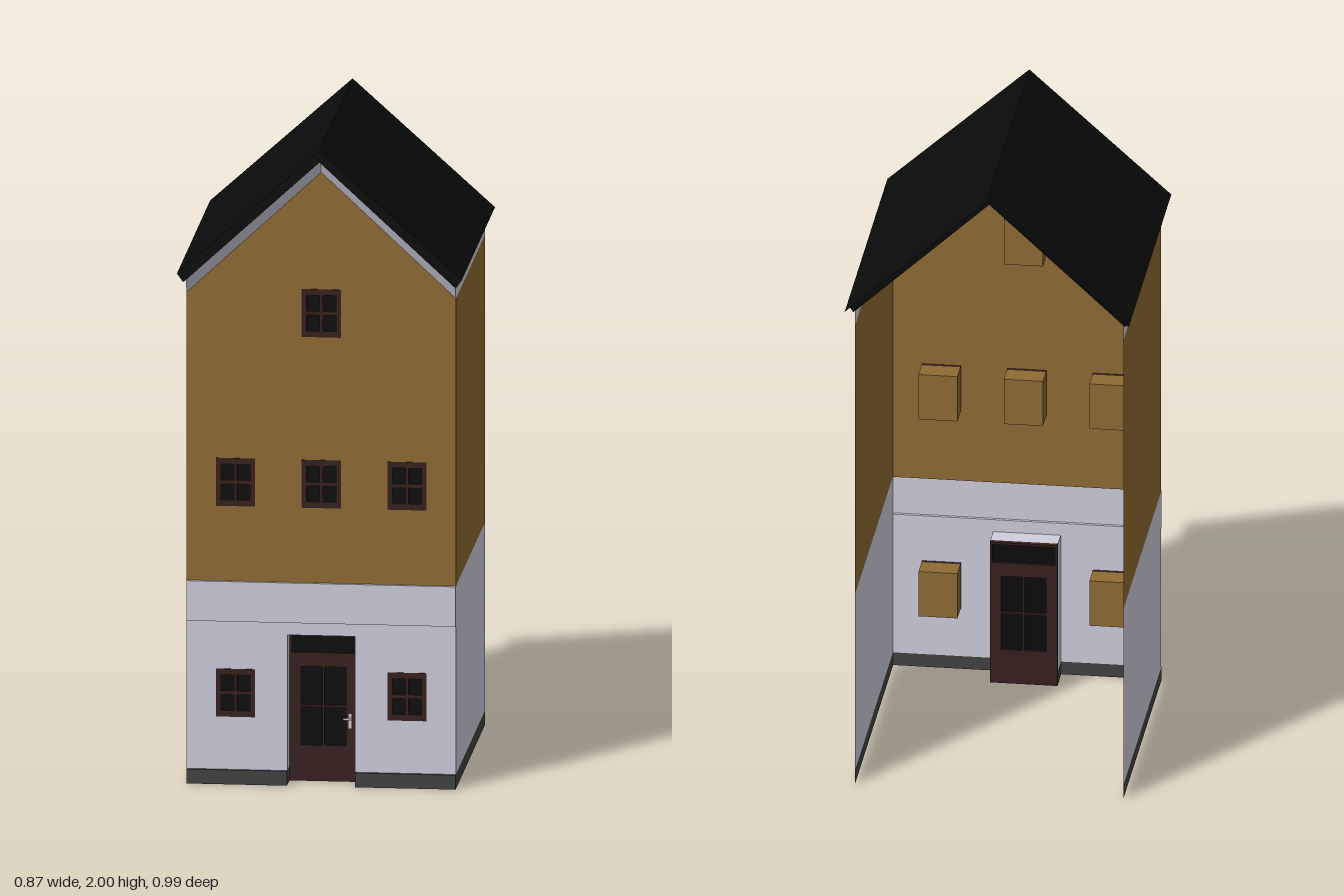
import * as THREE from 'three';

const mat = (color) => new THREE.MeshStandardMaterial({ color, side: THREE.DoubleSide, flatShading: true });

const W = 0.413;                 // half width of the house
const BACK = -0.435, FRONT = 0.44, PROUD = 0.45;
const EAVE = 1.58, PEAK = 1.965;
const DOOR = 0.104, DOOR_TOP = 0.47, DOOR_Z = 0.37;

export function createModel() {
  const house = new THREE.Group();
  house.name = 'house';
  const ochre = mat(0x8f6b33), white = mat(0xd0cddd), black = mat(0x0a0a0a);
  const stone = mat(0x424242), wood = mat(0x38211e), glass = mat(0x0b0b0b), metal = mat(0xcccccc);

  const add = (name, geometry, material, x = 0, y = 0, z = 0, parent = house) => {
    const mesh = new THREE.Mesh(geometry, material);
    mesh.name = name;
    mesh.position.set(x, y, z);
    parent.add(mesh);
    return mesh;
  };
  const polygon = (pts) => new THREE.Shape(pts.map(([x, y]) => new THREE.Vector2(x, y)));
  const rect = (x0, y0, x1, y1) => [[x0, y0], [x1, y0], [x1, y1], [x0, y1]];
  const withHoles = (pts, holes) => {
    const shape = polygon(pts);
    holes.forEach((h) => shape.holes.push(polygon([...h].reverse())));
    return shape;
  };
  const extrude = (shape, depth) => new THREE.ExtrudeGeometry(shape, { depth, bevelEnabled: false });
  // Flat four-cornered sheet
  const quad = (a, b, c, d) => {
    const g = new THREE.BufferGeometry();
    g.setAttribute('position', new THREE.Float32BufferAttribute([a, b, c, a, c, d].flat(), 3));
    g.computeVertexNormals();
    return g;
  };
  // Sheets facing sideways (constant x) and upwards (constant y)
  const sideSheet = (x, y0, y1, z0, z1) => quad([x, y0, z1], [x, y0, z0], [x, y1, z0], [x, y1, z1]);
  const levelSheet = (y, x0, x1, z0, z1) => quad([x0, y, z1], [x1, y, z1], [x1, y, z0], [x0, y, z0]);

  // Window places
  const windows = [[-0.263, 0.285], [0.263, 0.285], [-0.263, 0.945], [0, 0.945], [0.263, 0.945], [0, 1.48]];
  const ww = 0.06, wh = 0.075;
  const openings = windows.map(([x, y]) => rect(x - ww, y - wh, x + ww, y + wh));

  // Front wall: ground floor, raised band, gabled upper floors
  const ground = [[-W, 0.045], [-DOOR, 0.045], [-DOOR, DOOR_TOP], [DOOR, DOOR_TOP],
    [DOOR, 0.045], [W, 0.045], [W, 0.51], [-W, 0.51]];
  add('groundFloorFront', new THREE.ShapeGeometry(withHoles(ground, openings.slice(0, 2))), white, 0, 0, FRONT);
  const upper = [[-W, 0.635], [W, 0.635], [W, EAVE], [0, PEAK], [-W, EAVE]];
  add('upperFloorsFront', new THREE.ShapeGeometry(withHoles(upper, openings.slice(2))), ochre, 0, 0, FRONT);
  add('bandFront', new THREE.ShapeGeometry(polygon(rect(-W, 0.51, W, 0.635))), white, 0, 0, PROUD);
  for (const y of [0.51, 0.635]) add('bandLedge', levelSheet(y, -W, W, FRONT, PROUD), white);

  // Side walls, plinth and door reveals, mirrored
  for (const s of [-1, 1]) {
    const side = s < 0 ? 'right' : 'left';
    add(side + 'Plinth', sideSheet(s * W, 0, 0.045, BACK, PROUD), stone);
    add(side + 'GroundFloorWall', sideSheet(s * W, 0.045, 0.635, BACK, FRONT), white);
    add(side + 'BandEnd', sideSheet(s * W, 0.51, 0.635, FRONT, PROUD), white);
    add(side + 'UpperWall', sideSheet(s * W, 0.635, 1.535, BACK, FRONT), ochre);
    add(side + 'EaveTrim', sideSheet(s * W, 1.535, EAVE, BACK, FRONT), white);

    const [x0, x1] = s < 0 ? [-W, -DOOR] : [DOOR, W];
    add('frontPlinth', new THREE.ShapeGeometry(polygon(rect(x0, 0, x1, 0.045))), stone, 0, 0, PROUD);
    add('plinthLedge', levelSheet(0.045, x0, x1, FRONT, PROUD), stone);
    add('plinthReveal', sideSheet(s * DOOR, 0, 0.045, DOOR_Z, PROUD), stone);
    add('doorReveal', sideSheet(s * DOOR, 0.045, DOOR_TOP, DOOR_Z, FRONT), white);

    // Sloping moulding under the gable edge
    const z = 0.465;
    const top = [[0, PEAK, z], [s * W, EAVE, z]], low = [[0, 1.922, FRONT + 0.002], [s * W, 1.537, FRONT + 0.002]];
    add('gableMoulding', s > 0 ? quad(low[0], low[1], top[1], top[0]) : quad(low[1], low[0], top[0], top[1]), white);
    add('mouldingEnd', quad(low[1], [s * W, EAVE, FRONT], top[1], top[1]), white);
  }
  add('doorHead', levelSheet(DOOR_TOP, -DOOR, DOOR, DOOR_Z, FRONT), white);

  // Roof: chevron slab, with its skin running on over the open back
  const chevron = [[-0.437, 1.607], [-0.418, EAVE], [0, PEAK], [0.418, EAVE], [0.437, 1.607], [0, 2]];
  add('roof', extrude(polygon(chevron), 0.495 - BACK), black, 0, 0, BACK);
  for (const s of [-1, 1]) {
    const r = [[0, 2, BACK], [s * 0.437, 1.607, BACK], [s * 0.437, 1.607, -0.495], [0, 2, -0.495]];
    add('roofBackOverhang', quad(...(s > 0 ? r : r.reverse())), black);
  }

  // Windows: four-pane frame, glass, and the box recess behind
  const paneHoles = [-1, 1].flatMap((i) => [-1, 1].map((j) => {
    const x = i * 0.025, y = j * 0.031;
    return rect(x - 0.02, y - 0.025, x + 0.02, y + 0.025);
  }));
  const frameGeo = extrude(withHoles(rect(-ww, -wh, ww, wh), paneHoles), 0.014);
  const glassGeo = new THREE.PlaneGeometry(2 * ww, 2 * wh);
  const recessGeo = new THREE.BoxGeometry(2 * ww, 2 * wh, 0.07);
  for (const [x, y] of windows) {
    const win = new THREE.Group();
    win.name = 'window';
    win.position.set(x, y, FRONT);
    add('windowFrame', frameGeo, wood, 0, 0, -0.012, win);
    add('windowGlass', glassGeo, glass, 0, 0, -0.008, win);
    add('windowRecess', recessGeo, ochre, 0, 0, -0.047, win);
    house.add(win);
  }

  // Door leaf with glazing, transom light and handle
  const door = new THREE.Group();
  door.name = 'door';
  door.position.z = DOOR_Z;
  const lights = [-1, 1].flatMap((i) => [0.112, 0.238].map((y) =>
    rect(i * 0.036 - 0.033, y, i * 0.036 + 0.033, y + 0.12)));
  const transom = rect(-0.097, 0.402, 0.097, 0.463);
  add('doorLeaf', extrude(withHoles(rect(-DOOR, 0, DOOR, DOOR_TOP), [...lights, transom]), 0.015), wood, 0, 0, -0.008, door);
  add('doorGlass', new THREE.PlaneGeometry(0.14, 0.25), glass, 0, 0.235, 0, door);
  add('transomGlass', new THREE.PlaneGeometry(0.196, 0.064), glass, 0, 0.4325, 0, door);
  add('handlePlate', new THREE.BoxGeometry(0.01, 0.045, 0.004), metal, 0.082, 0.19, 0.009, door);
  add('handleLever', new THREE.BoxGeometry(0.026, 0.006, 0.008), metal, 0.075, 0.197, 0.015, door);
  house.add(door);

  return house;
}
